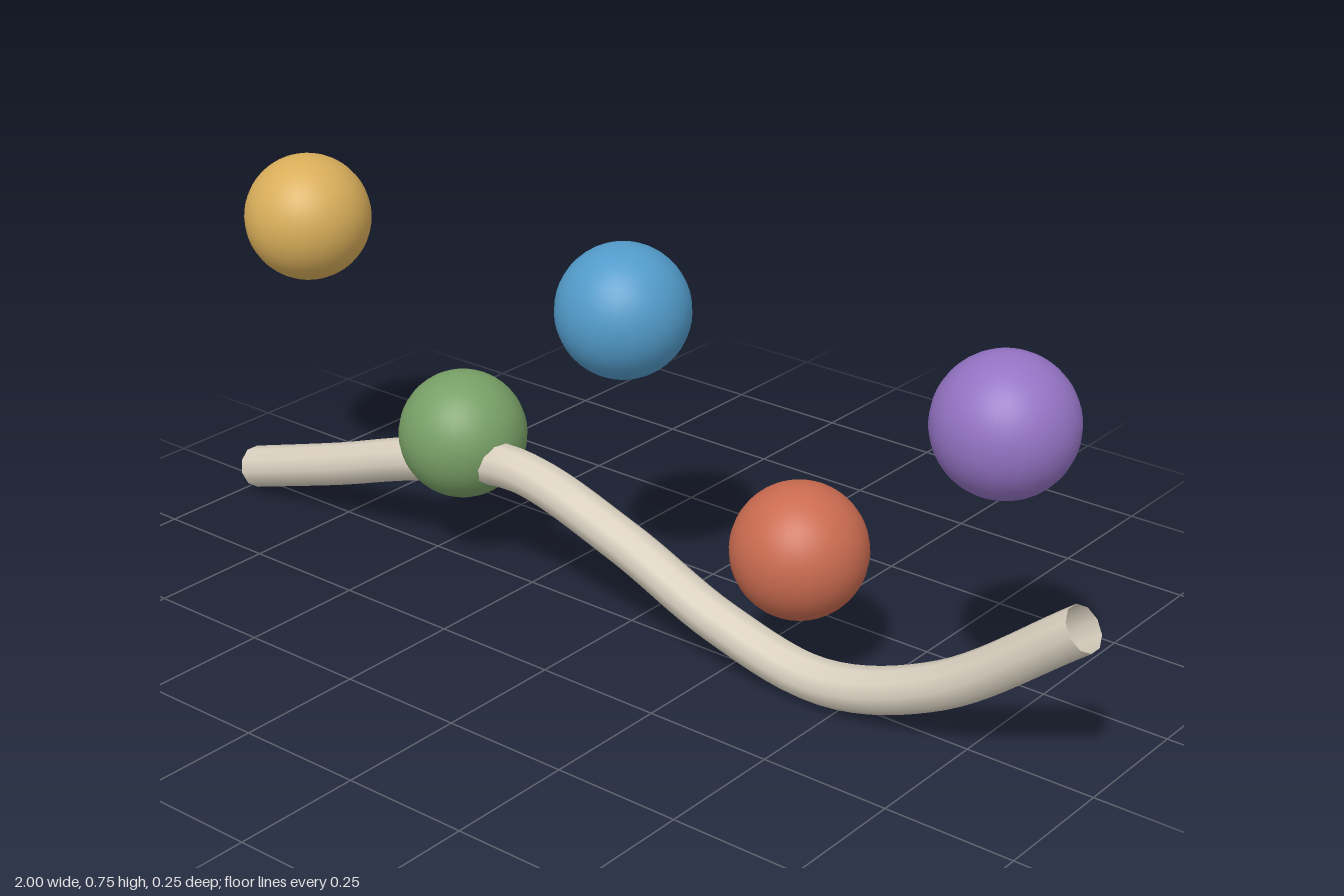
import * as THREE from 'three';

const material = (name, color, side = THREE.FrontSide) => {
  const m = new THREE.MeshStandardMaterial({ color, side });
  m.name = name;
  return m;
};

export function createModel() {
  const model = new THREE.Group();
  model.name = 'ballsAndWavyRail';

  // Open-ended wavy rail, slightly in front of the balls
  const path = new THREE.CatmullRomCurve3([
    [-0.99, 0.047], [-0.75, 0.122], [-0.5, 0.205], [-0.26, 0.25], [0, 0.18],
    [0.23, 0.088], [0.46, 0.046], [0.7, 0.123], [0.972, 0.325],
  ].map(([x, y]) => new THREE.Vector3(x, y, 0.026)));
  const rail = new THREE.Mesh(
    new THREE.TubeGeometry(path, 64, 0.043, 10, false),
    material('cream', 0xd9d0bf, THREE.DoubleSide),
  );
  rail.name = 'wavyRail';
  model.add(rail);

  // Five balls, alternating high and low
  const ballGeometry = new THREE.SphereGeometry(0.125, 32, 24);
  [
    ['gold', 0xd9ae5a], ['green', 0x78a066], ['blue', 0x529bca],
    ['red', 0xca6b50], ['purple', 0x9473c4],
  ].forEach(([name, color], i) => {
    const ball = new THREE.Mesh(ballGeometry, material(name, color));
    ball.name = `${name}Ball`;
    ball.position.set(-0.826 + i * 0.403, i % 2 ? 0.273 : 0.627, 0);
    model.add(ball);
  });

  return model;
}
